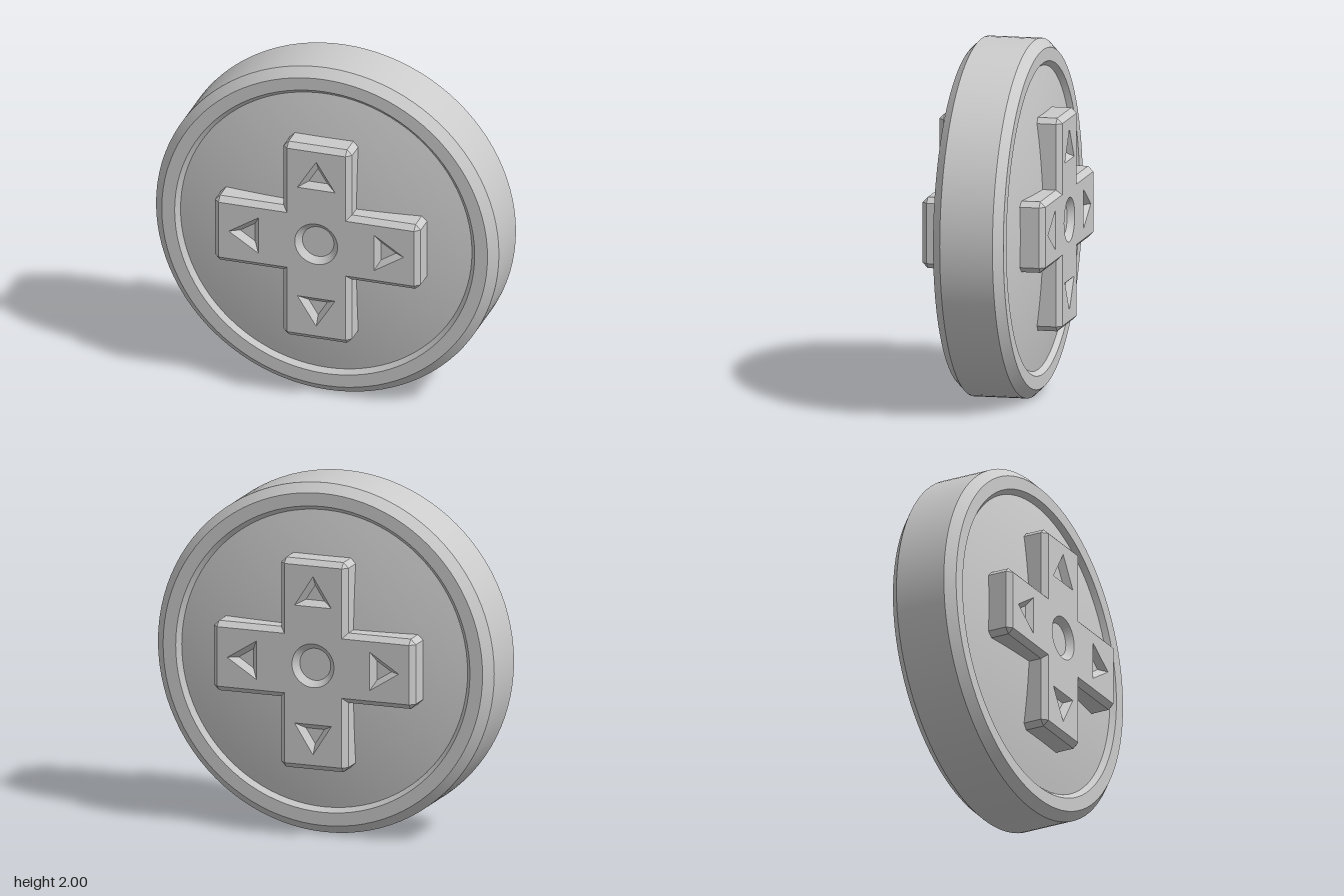
import * as THREE from 'three';
import { mergeGeometries, toCreasedNormals } from 'three/addons/utils/BufferGeometryUtils.js';

const material = new THREE.MeshStandardMaterial({ color: 0xcccccc });
const V = (x, y) => new THREE.Vector2(x, y);
const quarterTurns = [0, 1, 2, 3].map(k => k * Math.PI / 2);
const turn = (points, angle) => points.map(p => p.clone().rotateAround(V(0, 0), angle));

// Band of quads between two counter-clockwise loops at different heights
function band(loopA, zA, loopB, zB) {
  const pos = [];
  const tri = (...corners) => {
    const [a, b, c] = corners;
    if (new THREE.Triangle(a, b, c).getArea() > 1e-8) corners.forEach(p => pos.push(p.x, p.y, p.z));
  };
  const at = (p, z) => new THREE.Vector3(p.x, p.y, z);
  loopA.forEach((p, i) => {
    const j = (i + 1) % loopA.length;
    const a0 = at(p, zA), a1 = at(loopA[j], zA), b0 = at(loopB[i], zB), b1 = at(loopB[j], zB);
    tri(a0, a1, b1);
    tri(a0, b1, b0);
  });
  const g = new THREE.BufferGeometry();
  g.setAttribute('position', new THREE.Float32BufferAttribute(pos, 3));
  return g;
}

// Flat face at height z, with optional holes
function face(loop, z, holes = []) {
  const shape = new THREE.Shape(loop);
  shape.holes = holes.map(h => new THREE.Path(h));
  const g = new THREE.ShapeGeometry(shape).toNonIndexed().translate(0, 0, z);
  g.deleteAttribute('uv');
  g.deleteAttribute('normal');
  return g;
}

// Chamfered cross with a dished centre and four arrow recesses
function crossGeometry() {
  const a = 0.6, w = 0.2, c = 0.03, top = 0.35, base = 0.16, floor = top - 0.035;
  const outerQuarter = [V(a - c, -w), V(a, -w + c), V(a, w - c), V(a - c, w), V(w, w)];
  const e0 = V(a - c, -w + c), e1 = V(a - c, w - c), inside = V(w - c, w - c);
  const all = quarter => quarterTurns.flatMap(t => turn(quarter, t));
  const outer = all(outerQuarter);
  const inner = all([e0, e0, e1, e1, inside]);
  const parts = [band(outer, base, outer, top - c), band(outer, top - c, inner, top)];

  // Recess outlines: [rim loop, floor loop]
  const circle = r => Array.from({ length: 48 }, (_, i) => V(r, 0).rotateAround(V(0, 0), i * Math.PI / 24));
  const arrow = [V(0, 0.51), V(-0.11, 0.337), V(0.11, 0.337)];
  const arrowFloor = arrow.map(p => p.clone().lerp(V(0, 0.398), 0.5));
  const recesses = [[circle(0.125), circle(0.092)]];
  for (const t of quarterTurns) recesses.push([turn(arrow, t), turn(arrowFloor, t)]);
  for (const [rim, bottom] of recesses) {
    parts.push(band(rim, top, bottom, floor), face(bottom, floor));
  }
  parts.push(face(all([e0, e1, inside]), top, recesses.map(r => r[0])));
  return toCreasedNormals(mergeGeometries(parts), 0.5);
}

export function createModel() {
  const model = new THREE.Group();
  const add = (name, geometry, parent) => {
    const mesh = new THREE.Mesh(geometry, material);
    mesh.name = name;
    parent.add(mesh);
  };
  const spin = points => new THREE.LatheGeometry(points, 96).rotateX(Math.PI / 2);

  // Outer wall of the disc
  add('outerWall', spin([V(1, -0.15), V(1, 0.15)]), model);

  // Both faces are alike: rim, dome and cross
  const rim = [V(1, 0.15), V(0.95, 0.2), V(0.875, 0.2), V(0.85, 0.172)];
  const dome = Array.from({ length: 17 }, (_, i) => {
    const r = 0.85 * (1 - i / 16);
    return V(r, 0.254 - 0.113 * r * r);
  });
  const cross = crossGeometry();
  for (const side of ['front', 'back']) {
    const half = new THREE.Group();
    half.name = side + 'Face';
    const names = ['OuterChamfer', 'RimFace', 'InnerChamfer'];
    names.forEach((name, i) => add(side + name, spin([rim[i], rim[i + 1]]), half));
    add(side + 'Dome', spin(dome), half);
    add(side + 'Cross', cross, half);
    if (side === 'back') half.rotation.y = Math.PI;
    model.add(half);
  }

  model.children.forEach(part => { part.position.y = 1; });
  return model;
}
